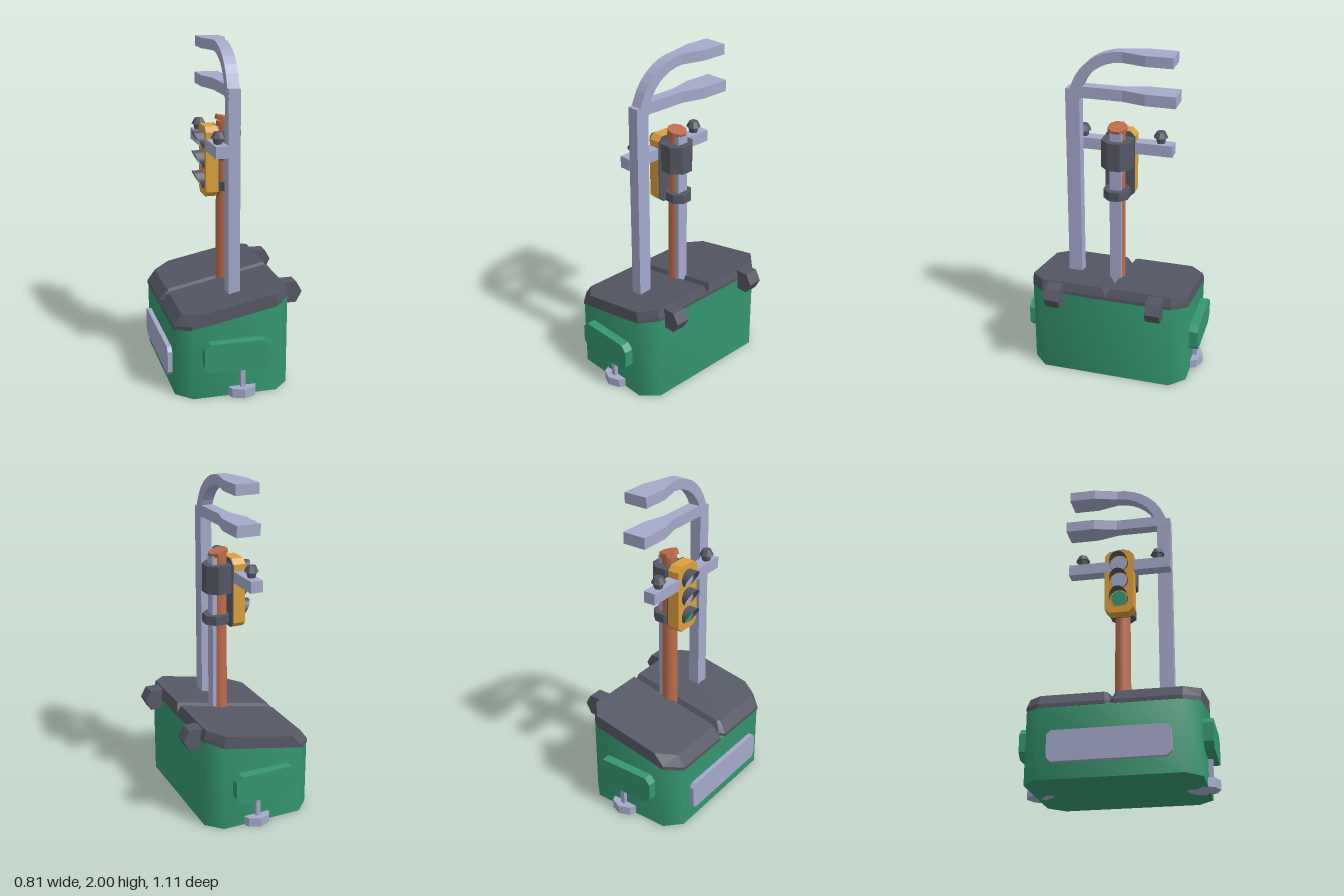
import * as THREE from 'three';
import { toCreasedNormals } from 'three/addons/utils/BufferGeometryUtils.js';

const paint = (name, color) => Object.assign(new THREE.MeshStandardMaterial({ color }), { name });

// Skin convex rings of [x, y, z] points, with closed ends and outward faces
function loft(rings) {
  const tris = [], n = rings[0].length, last = rings.length - 1;
  for (let r = 0; r < last; r++) {
    for (let i = 0; i < n; i++) {
      const j = (i + 1) % n, a = rings[r], b = rings[r + 1];
      tris.push([a[i], a[j], b[j]], [a[i], b[j], b[i]]);
    }
  }
  for (let i = 1; i < n - 1; i++) {
    tris.push([rings[0][0], rings[0][i + 1], rings[0][i]]);
    tris.push([rings[last][0], rings[last][i], rings[last][i + 1]]);
  }
  // Signed volume about a point inside tells which way the faces wind
  const o = new THREE.Vector3(...rings[0][0]);
  let volume = 0;
  for (const t of tris) {
    const [a, b, c] = t.map((p) => new THREE.Vector3(...p).sub(o));
    volume += a.dot(b.cross(c));
  }
  if (volume < 0) tris.forEach((t) => t.reverse());
  const g = new THREE.BufferGeometry();
  g.setAttribute('position', new THREE.Float32BufferAttribute(tris.flat(2), 3));
  g.computeVertexNormals();
  return g;
}

// Rectangle with cut corners, as [u, v] points
function cutRect(u0, u1, v0, v1, c) {
  return [[u0 + c, v0], [u1 - c, v0], [u1, v0 + c], [u1, v1 - c],
    [u1 - c, v1], [u0 + c, v1], [u0, v1 - c], [u0, v0 + c]];
}

export function createModel() {
  const model = new THREE.Group();
  model.name = 'binWithSignalPost';

  const green = paint('binGreen', 0x359770);
  const dark = paint('darkGrey', 0x555865);
  const steel = paint('paleSteel', 0xa4a9ca);
  const amber = paint('amber', 0xdba03a);
  const rust = paint('rustBrown', 0xbd6c4b);
  const darkSheet = paint('visorGrey', 0x555865);
  darkSheet.side = THREE.DoubleSide;

  function add(name, geometry, material, x = 0, y = 0, z = 0) {
    const mesh = new THREE.Mesh(geometry, material);
    mesh.name = name;
    mesh.position.set(x, y, z);
    model.add(mesh);
    return mesh;
  }
  const box = (name, m, x0, x1, y0, y1, z0, z1) => add(name,
    new THREE.BoxGeometry(x1 - x0, y1 - y0, z1 - z0), m,
    (x0 + x1) / 2, (y0 + y1) / 2, (z0 + z1) / 2);
  // Prism of a [z, y] outline along x
  const prismX = (pts, x0, x1) => loft([x0, x1].map((x) => pts.map(([z, y]) => [x, y, z])));
  // Prism of an [x, y] outline along z
  const prismZ = (pts, z0, z1) => loft([z0, z1].map((z) => pts.map(([x, y]) => [x, y, z])));
  // Upright octagon with flats facing the axes
  const octagon = (apothem, h) => {
    const r = apothem / Math.cos(Math.PI / 8);
    return toCreasedNormals(new THREE.CylinderGeometry(r, r, h, 8).rotateY(Math.PI / 8), 0.5);
  };

  // Bin body with a sloping rim
  const rim = (x) => 0.487 + 0.2 * x;
  const plan = cutRect(-0.38, 0.3, -0.49, 0.49, 0.09);
  add('binBody', toCreasedNormals(loft([
    plan.map(([x, z]) => [x, 0, z]),
    plan.map(([x, z]) => [x, rim(x), z]),
  ]), Math.PI / 3), green);

  for (const s of [1, -1]) {
    // Lid half: bevelled towards the low side and towards the middle groove
    const lower = [[-0.355, 0], [0.3, 0], [0.3, 0.4], [0.21, 0.49],
      [-0.295, 0.49], [-0.385, 0.4], [-0.385, 0.025]];
    const upper = [[-0.32, 0.025], [0.285, 0.025], [0.285, 0.4], [0.2, 0.49],
      [-0.23, 0.49], [-0.335, 0.4], [-0.335, 0.04]];
    const ring = (pts, h) => pts.map(([x, z]) => [x, rim(x) - 0.004 + h, s * z]);
    add('lidHalf', loft([ring(lower, 0), ring(lower, 0.022), ring(upper, 0.079)]), dark);

    // Hinge block on the high side
    add('hinge', prismZ([[0.28, 0.485], [0.37, 0.485], [0.405, 0.55], [0.37, 0.612], [0.28, 0.612]],
      s * 0.265, s * 0.355), dark);

    // Lifting pocket, foot stem and octagonal foot at each end
    add('liftPocket', prismZ(cutRect(-0.235, 0.155, 0.175, 0.35, 0.035), s * 0.48, s * 0.545), green);
    box('footStem', steel, -0.014, 0.014, 0.04, 0.18, s * 0.502 - 0.014, s * 0.502 + 0.014);
    const foot = new THREE.CylinderGeometry(0.095, 0.095, 0.055, 8);
    add('foot', toCreasedNormals(foot, 0.5), steel, 0, 0.0275, s * 0.46);

    // Knob on the signal crossbar
    add('knob', toCreasedNormals(new THREE.CylinderGeometry(0.035, 0.024, 0.05, 8), 0.5),
      dark, -0.077, 1.462, s * 0.235);
    add('knobTop', toCreasedNormals(new THREE.CylinderGeometry(0.026, 0.044, 0.035, 8), 0.5),
      dark, -0.077, 1.493, s * 0.235);
  }

  // Name-free plate on the low side
  add('sidePlate', prismX(cutRect(-0.34, 0.34, 0.09, 0.265, 0.025), -0.408, -0.375), steel);

  // Tall post with two arms that widen towards their tips
  box('tallPost', steel, -0.035, 0.035, 0.5, 1.76, 0.228, 0.312);
  const halfWidth = (z) => 0.036 + 0.037 * THREE.MathUtils.clamp((-0.03 - z) / 0.14, 0, 1);
  // Cross-section at z, y, with its thickness along the direction a
  const section = (z, y, a, t) => {
    const w = halfWidth(z), dz = Math.cos(a) * t / 2, dy = Math.sin(a) * t / 2;
    return [[-w, y - dy, z - dz], [w, y - dy, z - dz], [w, y + dy, z + dz], [-w, y + dy, z + dz]];
  };
  const curved = [section(0.27, 1.7, 0, 0.084)];
  for (let i = 0; i <= 8; i++) {
    const a = 0.15 + (Math.PI / 2 - 0.15) * i / 8;
    curved.push(section(-0.03 + 0.29 * Math.cos(a), 1.69 + 0.28 * Math.sin(a), a,
      i === 0 ? 0.08 : 0.062));
  }
  curved.push(section(-0.17, 1.97, Math.PI / 2, 0.062), section(-0.33, 1.97, Math.PI / 2, 0.062));
  add('curvedArm', loft(curved), steel);
  add('straightArm', loft([0.25, -0.03, -0.17, -0.35]
    .map((z) => section(z, 1.745, Math.PI / 2, 0.068))), steel);

  // Round pole with a backing channel and slanted cap
  add('pole', new THREE.CylinderGeometry(0.045, 0.05, 1.03, 10), rust, 0.02, 1.015, 0);
  box('poleChannel', steel, 0.03, 0.076, 0.5, 1.53, -0.035, 0.035);
  const cap = add('poleCap', octagon(0.054, 0.026), rust, 0.025, 1.543, 0);
  cap.rotation.z = -0.25;

  // Clamps around the pole
  add('upperClamp', octagon(0.09, 0.17), dark, 0.025, 1.393, 0);
  add('lowerClamp', octagon(0.075, 0.055), dark, 0.04, 1.143, 0);

  // Signal housing on its crossbar
  const face = cutRect(-0.09, 0.09, 1.09, 1.51, 0.03);
  add('signalHousing', prismX(face, -0.11, -0.035), amber);
  add('signalBack', prismX(face, -0.036, -0.028), dark);
  box('crossbar', steel, -0.11, -0.035, 1.37, 1.44, -0.315, 0.315);

  // Lenses under hoods cut on a slant
  [1.42, 1.302, 1.18].forEach((y, i) => {
    add('lens', new THREE.CylinderGeometry(0.048, 0.048, 0.008, 16).rotateZ(Math.PI / 2),
      i === 2 ? green : steel, -0.112, y, 0);
    const hood = new THREE.CylinderGeometry(0.057, 0.057, 0.066, 16, 1, true).rotateZ(Math.PI / 2);
    const p = hood.attributes.position;
    for (let k = 0; k < p.count; k++) {
      const depth = 0.066 * (p.getY(k) + 0.057) / 0.114;
      p.setX(k, p.getX(k) < 0 ? -0.109 - depth : -0.109);
    }
    add('hood', hood, darkSheet, 0, y, 0);
  });

  return model;
}
